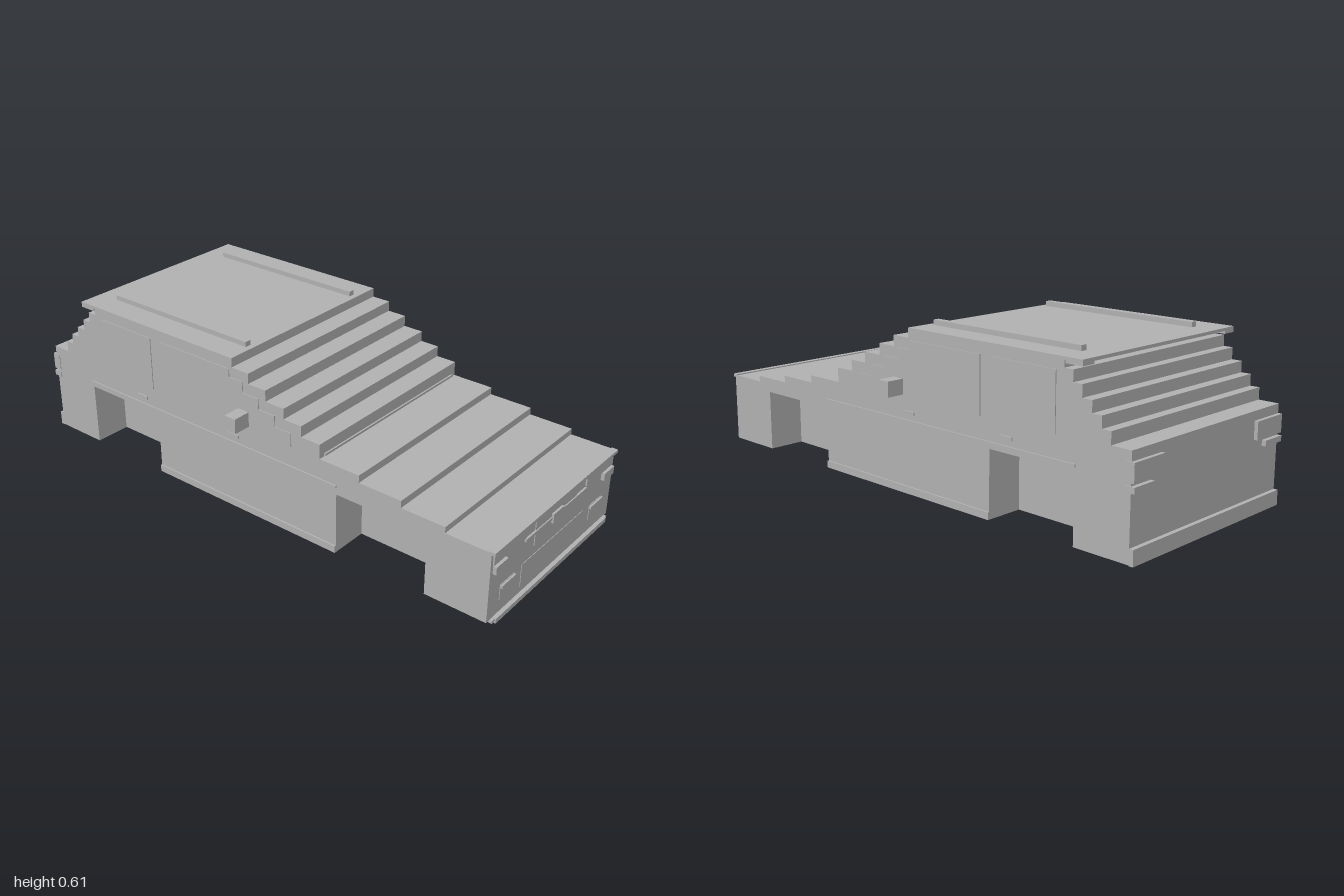
import * as THREE from 'three';

const W = 0.392; // half width of the body
const WELL = 0.14; // depth of the wheel wells

// Stepped side profile as [z where the step ends, y of the step]
const STEPS = [
  [0.82, 0.272], [0.655, 0.294], [0.49, 0.32], [0.33, 0.347], [0.252, 0.4],
  [0.178, 0.44], [0.1, 0.479], [0.025, 0.52], [-0.048, 0.558], [-0.73, 0.592],
  [-0.765, 0.558], [-0.8, 0.52], [-0.838, 0.479], [-0.875, 0.44], [-0.91, 0.4], [-0.985, 0.358],
];

function bodyShape(withWells) {
  const base = 0.014;
  const s = new THREE.Shape();
  s.moveTo(0.985, base);
  let z = 0.985;
  for (const [end, y] of STEPS) {
    s.lineTo(z, y);
    s.lineTo(end, y);
    z = end;
  }
  s.lineTo(-0.985, base);
  if (withWells) {
    for (const [a, b, top] of [[-0.775, -0.425, 0.25], [0.4, 0.755, 0.24]]) {
      s.lineTo(a, base);
      s.lineTo(a, top);
      s.lineTo(b, top);
      s.lineTo(b, base);
    }
  }
  s.closePath();
  return s;
}

// Extrudes a (z, y) shape across x from x0 to x1
function extrudeX(shape, x0, x1) {
  const g = new THREE.ExtrudeGeometry(shape, { depth: x1 - x0, bevelEnabled: false });
  g.rotateY(-Math.PI / 2);
  g.translate(x1, 0, 0);
  return g;
}

export function createModel() {
  const car = new THREE.Group();
  car.name = 'car';
  const grey = new THREE.MeshStandardMaterial({ color: 0xb0b0b0 });
  grey.name = 'body grey';

  const add = (name, geometry) => {
    const m = new THREE.Mesh(geometry, grey);
    m.name = name;
    car.add(m);
    return m;
  };
  // Box given by its limits on each axis
  const box = (name, x0, x1, y0, y1, z0, z1) => {
    const g = new THREE.BoxGeometry(x1 - x0, y1 - y0, z1 - z0);
    g.translate((x0 + x1) / 2, (y0 + y1) / 2, (z0 + z1) / 2);
    return add(name, g);
  };
  // Left and right copies of a box
  const pair = (name, x0, x1, ...rest) => {
    box(name + 'Left', x0, x1, ...rest);
    box(name + 'Right', -x1, -x0, ...rest);
  };

  // Body: solid core and two sides notched for the wheels
  add('bodyCore', extrudeX(bodyShape(false), -W + WELL, W - WELL));
  add('bodySideLeft', extrudeX(bodyShape(true), W - WELL, W));
  add('bodySideRight', extrudeX(bodyShape(true), -W, -W + WELL));

  // Roof
  pair('roofRail', 0.273, 0.297, 0.592, 0.61, -0.715, -0.07);
  box('spoiler', -W, W, 0.582, 0.592, -0.8, -0.73);
  pair('spoilerEnd', 0.34, W, 0.572, 0.592, -0.8, -0.735);

  // Mirrors
  pair('mirror', W, 0.462, 0.36, 0.415, -0.022, 0.025);

  // Wipers at the foot of the windscreen
  box('wiperBar', -0.37, 0.37, 0.35, 0.358, 0.328, 0.336);

  // Front end
  const F = 0.985;
  box('hoodLip', -W, W, 0.264, 0.276, 0.975, 0.998);
  pair('headlight', 0.195, 0.38, 0.222, 0.262, F, 0.99);
  pair('indicator', 0.31, 0.378, 0.19, 0.218, F, 0.998);
  box('grille', -0.132, 0.132, 0.16, 0.253, F, 0.988);
  box('grilleBar', -0.195, 0.195, 0.208, 0.218, F, 0.992);
  box('grilleCentre', -0.033, 0.033, 0.195, 0.23, F, 0.996);
  box('lowerGrille', -0.2, 0.2, 0.04, 0.125, F, 0.987);
  pair('fogLight', 0.243, 0.326, 0.063, 0.12, F, 0.987);
  pair('fogLightBar', 0.243, 0.326, 0.108, 0.118, F, 0.994);
  box('frontLip', -0.36, 0.36, 0, 0.017, 0.965, 1);
  box('frontLipBase', -0.375, 0.375, 0.006, 0.016, 0.965, 0.995);

  // Rear end
  const R = -0.985;
  pair('tailLight', 0.25, 0.395, 0.262, 0.325, -0.998, R + 0.02);
  pair('tailLightLower', 0.3, 0.395, 0.232, 0.252, -1, R + 0.02);
  box('rearBumper', -W, W, 0.012, 0.065, -1, R);

  // Sides: sills, belt lines, handles and windows
  pair('sill', W, 0.398, 0.014, 0.04, -0.425, 0.4);
  pair('beltLine', W, 0.397, 0.265, 0.275, -0.78, 0.4);
  for (const z of [-0.5, -0.05]) {
    pair('doorHandle', W, 0.397, 0.295, 0.307, z - 0.025, z + 0.025);
  }
  const windows = {
    frontWindow: [[0.21, 0.35], [0.21, 0.4], [0.14, 0.4], [0.14, 0.44], [0.07, 0.44], [0.07, 0.48],
      [0, 0.48], [0, 0.52], [-0.06, 0.52], [-0.06, 0.55], [-0.385, 0.55], [-0.385, 0.35]],
    rearWindow: [[-0.44, 0.35], [-0.44, 0.55], [-0.7, 0.55], [-0.7, 0.35]],
  };
  for (const [name, points] of Object.entries(windows)) {
    const shape = new THREE.Shape(points.map(([z, y]) => new THREE.Vector2(z, y)));
    add(name + 'Left', extrudeX(shape, W, W + 0.003));
    add(name + 'Right', extrudeX(shape, -W - 0.003, -W));
  }

  return car;
}
